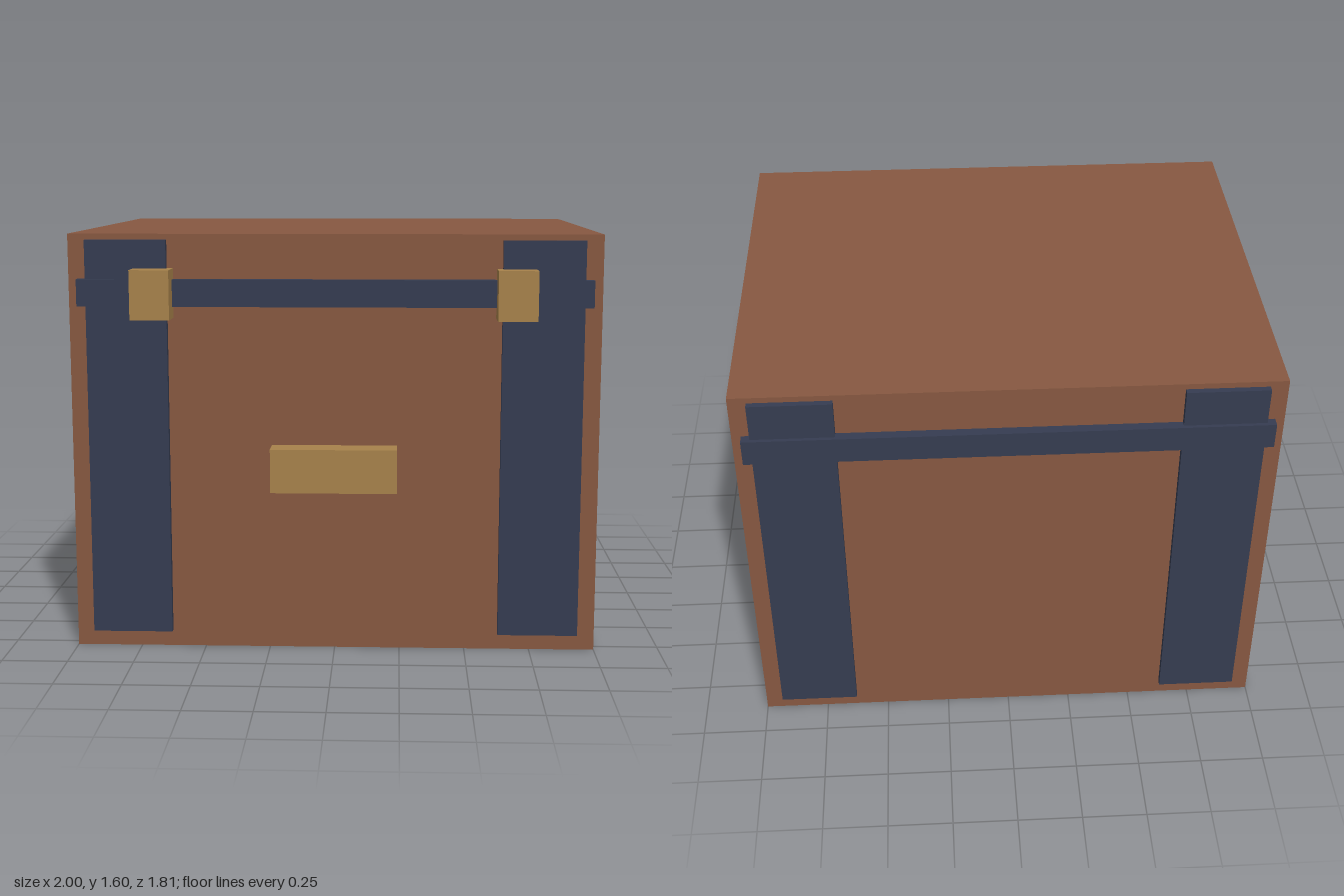
import * as THREE from 'three';

const material = (name, color) => {
  const m = new THREE.MeshStandardMaterial({ color });
  m.name = name;
  return m;
};

export function createModel() {
  const leather = material('brown leather', 0x875841);
  const navy = material('navy strap', 0x353c51);
  const brass = material('brass', 0xa7824b);

  const model = new THREE.Group();
  model.name = 'trunk';

  // Box given by its lower and upper limits on each axis
  const addBox = (name, mat, [x0, x1], [y0, y1], [z0, z1]) => {
    const mesh = new THREE.Mesh(new THREE.BoxGeometry(x1 - x0, y1 - y0, z1 - z0), mat);
    mesh.position.set((x0 + x1) / 2, (y0 + y1) / 2, (z0 + z1) / 2);
    mesh.name = name;
    model.add(mesh);
  };

  const front = 0.79, back = -0.87;
  addBox('body', leather, [-1, 1], [0, 1.595], [back, front]);

  // Horizontal bands across the front and back
  addBox('frontBand', navy, [-0.965, 0.965], [1.325, 1.427], [front - 0.01, 0.827]);
  addBox('backBand', navy, [-0.965, 0.965], [1.325, 1.427], [-0.907, back + 0.01]);

  // Vertical straps and clasps, mirrored left and right
  for (const [side, s] of [['left', 1], ['right', -1]]) {
    const span = (a, b) => (s > 0 ? [a, b] : [-b, -a]);
    addBox(side + 'FrontStrap', navy, span(0.628, 0.933), [0.063, 1.573], [front - 0.01, 0.817]);
    addBox(side + 'BackStrap', navy, span(0.628, 0.933), [0.063, 1.573], [-0.893, back + 0.01]);
    addBox(side + 'Clasp', brass, span(0.605, 0.752), [1.282, 1.467], [front - 0.01, 0.907]);
  }

  // Handle in the middle of the front
  addBox('handle', brass, [-0.238, 0.238], [0.631, 0.797], [front - 0.01, 0.892]);

  return model;
}
